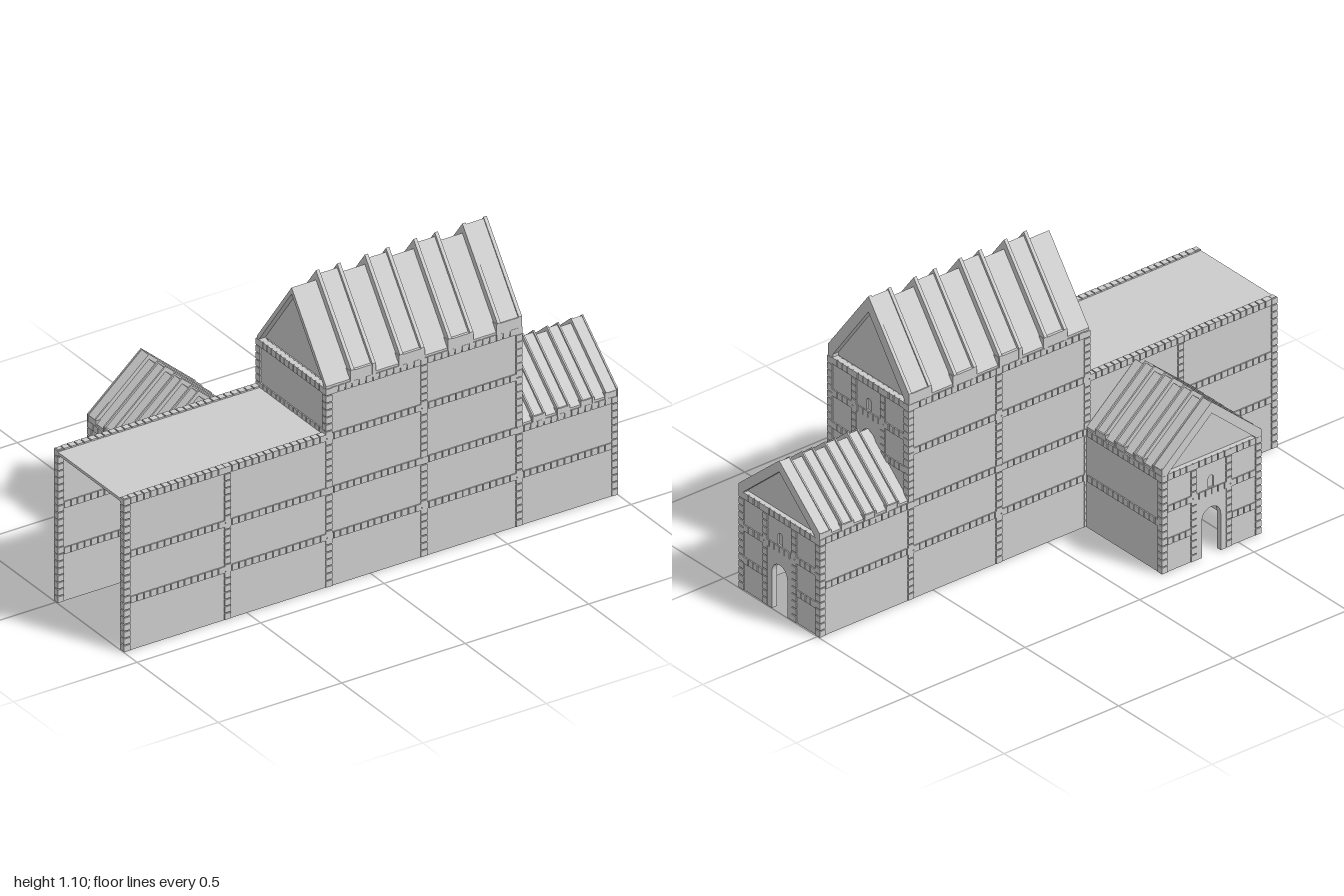
import * as THREE from 'three';
import { mergeGeometries } from 'three/addons/utils/BufferGeometryUtils.js';

const stone = new THREE.MeshStandardMaterial({ color: 0xcccccc });
stone.name = 'pale grey stone';

const BRICK = 0.025;   // trim width and depth
const PANEL = 0.016;   // wall thickness
const FLOOR = 0.193;   // storey height

function mesh(name, geometry) {
  const m = new THREE.Mesh(geometry, stone);
  m.name = name;
  return m;
}

function box(x0, x1, y0, y1, z0, z1) {
  const g = new THREE.BoxGeometry(x1 - x0, y1 - y0, z1 - z0);
  return g.translate((x0 + x1) / 2, (y0 + y1) / 2, (z0 + z1) / 2);
}

function slab(shape, depth) {
  return new THREE.ExtrudeGeometry(shape, { depth, bevelEnabled: false, curveSegments: 10 })
    .translate(0, 0, -depth / 2);
}

// A straight run of bricks on a slimmer mortar core
function brickRun(u, y, length, upright) {
  const h = BRICK / 2, c = h - 0.004;
  const n = Math.max(1, Math.round(length / 0.0275)), step = length / n;
  const parts = [upright ? box(u - c, u + c, y, y + length, -c, c) : box(u, u + length, y - c, y + c, -c, c)];
  for (let i = 0; i < n; i++) {
    const a = i * step + 0.002, b = (i + 1) * step - 0.002;
    parts.push(upright ? box(u - h, u + h, y + a, y + b, -h, h) : box(u + a, u + b, y - h, y + h, -h, h));
  }
  return parts;
}

// Plain wall along local x: each column is [u, bottom, top], each beam [u0, u1, y]
function wall(name, panels, columns, beams) {
  const g = new THREE.Group();
  g.name = name;
  for (const [u0, u1, y0, y1] of panels) g.add(mesh('wallPanel', box(u0, u1, y0, y1, -PANEL / 2, PANEL / 2)));
  const bricks = [];
  for (const [u, y0, y1] of columns) bricks.push(...brickRun(u, y0, y1 - y0, true));
  for (const [u0, u1, y] of beams) bricks.push(...brickRun(u0, y, u1 - u0, false));
  g.add(mesh('brickTrim', mergeGeometries(bricks)));
  return g;
}

// Wall outline with a round-headed doorway cut up from the ground
function doorShape(u0, u1, top, centre, radius, spring) {
  const s = new THREE.Shape();
  s.moveTo(u0, 0);
  s.lineTo(centre - radius, 0);
  s.lineTo(centre - radius, spring);
  s.absarc(centre, spring, radius, Math.PI, 0, true);
  s.lineTo(centre + radius, 0);
  s.lineTo(u1, 0);
  s.lineTo(u1, top);
  s.lineTo(u0, top);
  s.closePath();
  return s;
}

// Two-storey end wall with a doorway and a small blind window
function doorWall(name) {
  const L = 0.435, H = 2 * FLOOR, c = L / 2, e = BRICK / 2;
  const inner = 0.077;
  const cols = [e, c - inner, c + inner, L - e].map(u => [u, 0, H]);
  const g = wall(name, [], cols, [
    [BRICK, L - BRICK, H - e], [BRICK, L - BRICK, 0.248],
    [BRICK, c - inner - e, 0.12], [c + inner + e, L - BRICK, 0.12]]);
  const shape = doorShape(0.005, L - 0.005, H, c, 0.041, 0.146);
  const hole = new THREE.Path();
  hole.moveTo(c - 0.012, 0.262);
  hole.lineTo(c + 0.012, 0.262);
  hole.lineTo(c + 0.012, 0.298);
  hole.absarc(c, 0.298, 0.012, 0, Math.PI, false);
  hole.closePath();
  shape.holes.push(hole);
  g.add(mesh('doorWallPanel', slab(shape, PANEL)));
  g.add(mesh('doorSurround', slab(doorShape(c - 0.065, c + 0.065, 0.236, c, 0.041, 0.146), 0.021)));
  g.add(mesh('blindWindow', box(c - 0.014, c + 0.014, 0.258, 0.314, -0.002, 0.002)));
  return g;
}

// Chevron section in z and y, extruded along x
function chevron(x0, x1, half, eave, peak, t) {
  const s = new THREE.Shape([[-half, eave - t], [0, peak - t], [half, eave - t], [half, eave], [0, peak], [-half, eave]]
    .map(p => new THREE.Vector2(...p)));
  return slab(s, x1 - x0).rotateY(Math.PI / 2).translate((x0 + x1) / 2, 0, 0);
}

// Gabled roof: sheet, raised strips with upstanding rails, eave blocks, recessed gables
function roof(name, length, base, peak, lift, ends) {
  const g = new THREE.Group();
  g.name = name;
  const half = 0.213, pitch = length / 4, rail = pitch > 0.15 ? 0.013 : 0.006;
  g.add(mesh('roofSheet', chevron(0, length, half, base + 0.008, peak, 0.025)));
  for (let i = 0; i < 4; i++) {
    const a = (i + 0.5) * pitch, b = (i + 1) * pitch;
    const up = i === 3 ? lift * 1.45 : lift;
    g.add(mesh('raisedStrip', chevron(a, b, half + 0.002, base + 0.006 + up, peak + up, up + 0.01)));
    const top = Math.max(up, lift * 1.75);
    for (const x of [a, b - rail])
      g.add(mesh('stripRail', chevron(x, x + rail, half + 0.004, base + 0.006 + top, peak + top, top + 0.015)));
    for (const s of [-1, 1])
      g.add(mesh('eaveBlock', box(a - 0.003, Math.min(b + 0.003, length), base, base + lift * 1.9,
        s * 0.203 - 0.013, s * 0.203 + 0.013)));
  }
  const tri = new THREE.Shape([[-0.2, base], [0.2, base], [0, peak - 0.018]].map(p => new THREE.Vector2(...p)));
  for (const x of ends) g.add(mesh('gablePanel', slab(tri, 0.01).rotateY(Math.PI / 2).translate(x, 0, 0)));
  return g;
}

export function createModel() {
  const model = new THREE.Group();
  const e = BRICK / 2;
  const Y = [0, FLOOR, 2 * FLOOR, 0.593, 0.77];
  const place = (o, x, y, z, turned) => {
    o.position.set(x, y, z);
    if (turned) o.rotation.y = Math.PI / 2;
    model.add(o);
  };

  // Long front and back walls, stepped in height
  for (const [name, z] of [['frontWall', 0.408], ['backWall', -0.001]]) {
    place(wall(name,
      [[-0.995, -0.18, 0, Y[3] - 0.005], [-0.18, 0.605, 0, Y[4]], [0.605, 0.995, 0, Y[2]]],
      [[-1 + e, 0, Y[3]], [-0.58, 0, Y[3]], [-0.17, 0, Y[4]], [0.215, 0, Y[4]], [0.6, 0, Y[4]], [1 - e, 0, Y[2]]],
      [[-0.975, 0.975, Y[1] + 0.003], [-0.975, 0.975, Y[2] - e],
        [-0.975, 0.59, Y[3] - e], [-0.16, 0.59, Y[4] - e]]), 0, 0, z);
  }

  // End walls with doorways
  place(doorWall('rightEndWall'), 1 - e, 0, 0.421, true);
  place(doorWall('towerRightWall'), 0.6, Y[2], 0.421, true);
  place(doorWall('wingEndWall'), -0.597, 0, -0.409);

  // Upper left wall of the tall block
  place(wall('towerLeftWall', [[0, 0.42, Y[3] - 0.02, Y[4]]], [], [[0.01, 0.41, Y[4] - e], [0.01, 0.41, Y[3]]]),
    -0.17, 0, 0.413, true);

  // Side walls of the rear wing
  for (const [name, x] of [['wingLeftWall', -0.174], ['wingRightWall', -0.585]])
    place(wall(name, [[0, 0.405, 0, Y[2]]], [], [[0.01, 0.4, Y[1] + 0.003], [0.01, 0.4, Y[2] - e]]),
      x, 0, -0.01, true);

  // Flat roof over the low end
  model.add(mesh('flatRoof', box(-1, -0.18, 0.576, 0.587, 0.005, 0.402)));

  // Gabled roofs
  place(roof('towerRoof', 0.79, Y[4], 1.063, 0.021, [0.03, 0.76]), -0.18, 0, 0.204);
  place(roof('lowRoof', 0.395, Y[2], 0.58, 0.011, [0.37]), 0.605, 0, 0.204);
  place(roof('wingRoof', 0.408, Y[2], 0.58, 0.011, [0.383]), -0.38, 0, -0.013, true);

  return model;
}
